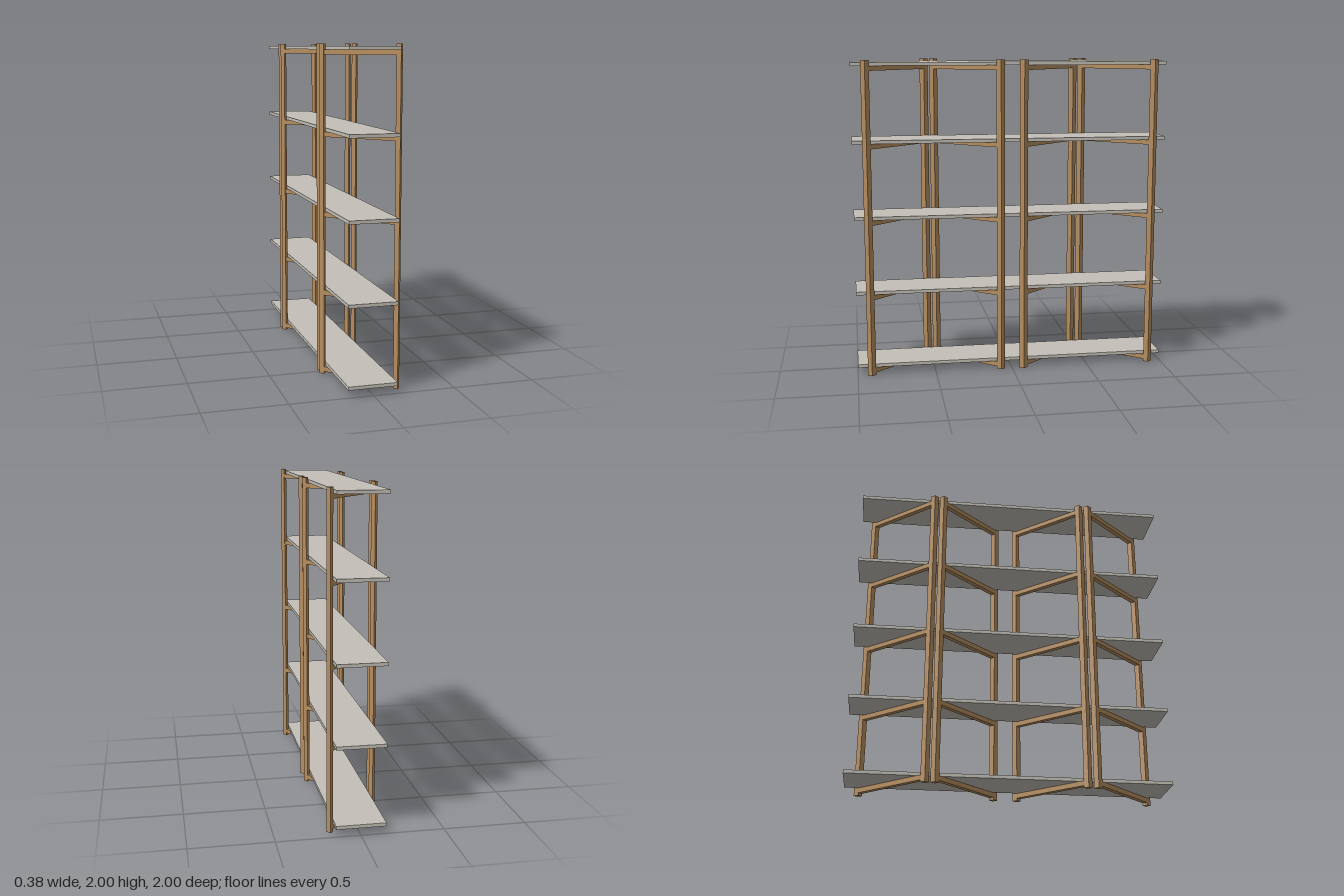
import * as THREE from 'three';

const wood = new THREE.MeshStandardMaterial({ color: 0xb58d5f });
wood.name = 'wood';
const board = new THREE.MeshStandardMaterial({ color: 0xc4c0b8 });
board.name = 'pale grey board';

const LEVELS = 5, PITCH = 0.48, SHELF_BOTTOM = 0.045, SHELF_T = 0.021;
const RAIL_H = 0.03, RAIL_W = 0.03;
const FRONT_X = 0.168, BACK_X = -0.172;

// Upright with a diamond section, standing on the ground
function postGeometry() {
  const s = new THREE.Shape([
    new THREE.Vector2(0.019, 0), new THREE.Vector2(0, 0.026),
    new THREE.Vector2(-0.019, 0), new THREE.Vector2(0, -0.026),
  ]);
  return new THREE.ExtrudeGeometry(s, { depth: 2, bevelEnabled: false }).rotateX(-Math.PI / 2);
}

export function createModel() {
  const model = new THREE.Group();
  model.name = 'shelvingUnit';

  const add = (parent, name, geometry, material, x, y, z) => {
    const mesh = new THREE.Mesh(geometry, material);
    mesh.name = name;
    mesh.position.set(x, y, z);
    parent.add(mesh);
    return mesh;
  };

  // Long shelves
  const shelfGeo = new THREE.BoxGeometry(0.298, SHELF_T, 2);
  for (let i = 0; i < LEVELS; i++) {
    add(model, 'shelf', shelfGeo, board, -0.003, SHELF_BOTTOM + SHELF_T / 2 + i * PITCH, 0);
  }

  // Four ladder frames set diagonally: [front post z, back post z]
  const post = postGeometry();
  for (const [zf, zb] of [[0.911, 0.528], [0.074, 0.466], [-0.074, -0.458], [-0.914, -0.518]]) {
    const frame = new THREE.Group();
    frame.name = 'ladderFrame';
    model.add(frame);
    add(frame, 'frontPost', post, wood, FRONT_X, 0, zf);
    add(frame, 'backPost', post, wood, BACK_X, 0, zb);

    // Rails under each shelf, running from post to post
    const dx = FRONT_X - BACK_X, dz = zf - zb;
    const railGeo = new THREE.BoxGeometry(Math.hypot(dx, dz), RAIL_H, RAIL_W);
    for (let i = 0; i < LEVELS; i++) {
      const rail = add(frame, 'rail', railGeo, wood, (FRONT_X + BACK_X) / 2,
        SHELF_BOTTOM - RAIL_H / 2 + i * PITCH, (zf + zb) / 2);
      rail.rotation.y = -Math.atan2(dz, dx);
    }
  }
  return model;
}
